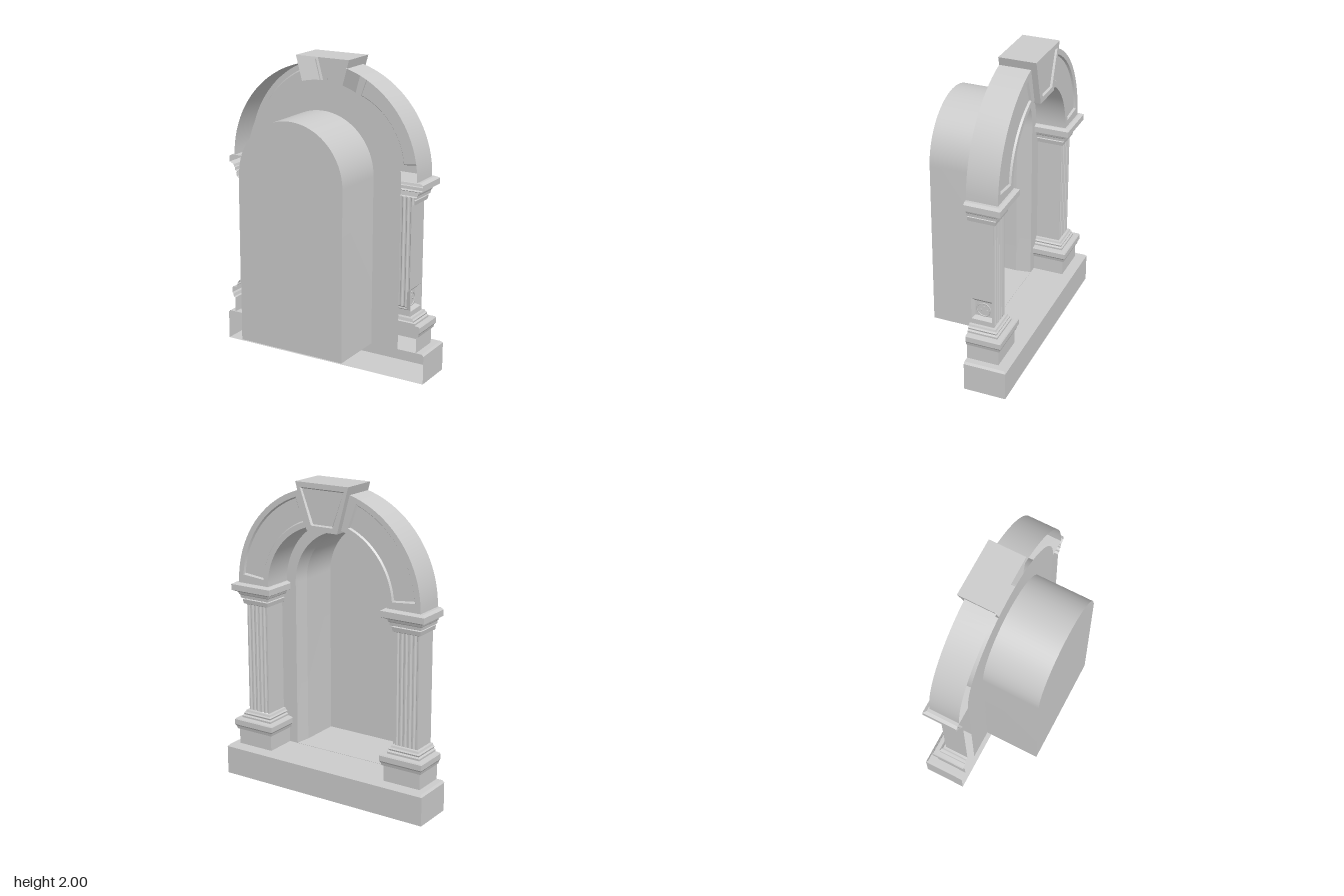
import * as THREE from 'three';
import { toCreasedNormals } from 'three/addons/utils/BufferGeometryUtils.js';

const BACK = -0.05, SPRING = 1.3, FACE = -0.25;
const mat = new THREE.MeshStandardMaterial({ color: 0xcccccc, side: THREE.DoubleSide });
const v = (x, y, z) => new THREE.Vector3(x, y, z);

function add(parent, name, geo) {
  const m = new THREE.Mesh(geo, mat);
  m.name = name;
  parent.add(m);
  return m;
}

// Skin between cross-sections with equal point counts
function loft(sections, closed = false, crease = 0.5) {
  const pos = [];
  for (let i = 0; i + 1 < sections.length; i++) {
    const a = sections[i], b = sections[i + 1], n = a.length;
    for (let j = 0; j < (closed ? n : n - 1); j++) {
      const k = (j + 1) % n;
      for (const p of [a[j], a[k], b[k], a[j], b[k], b[j]]) pos.push(p.x, p.y, p.z);
    }
  }
  const g = new THREE.BufferGeometry();
  g.setAttribute('position', new THREE.Float32BufferAttribute(pos, 3));
  return toCreasedNormals(g, crease);
}

// Three-sided outline, open at the back; flat = pulled onto the back line
const uPath = (h, front, y) => [v(-h, y, BACK), v(-h, y, front), v(h, y, front), v(h, y, BACK)];
const flat = (h, y) => uPath(h, BACK, y);

// Round-headed opening outline
function archPoints(r, bottom = 0.2, n = 48) {
  const p = [new THREE.Vector2(r, bottom)];
  for (let i = 0; i <= n; i++) {
    const a = Math.PI * i / n;
    p.push(new THREE.Vector2(r * Math.cos(a), SPRING + r * Math.sin(a)));
  }
  p.push(new THREE.Vector2(-r, bottom));
  return p;
}
const atZ = (pts, z) => pts.map(p => v(p.x, p.y, z));

function flatShape(pts, z, hole) {
  const s = new THREE.Shape(pts);
  if (hole) s.holes.push(new THREE.Path(hole));
  return new THREE.ShapeGeometry(s).translate(0, 0, z);
}

// Face with a sunken panel: rim, sloping border and floor
function panelledFace(parent, name, outer, rim, floor, z, depth) {
  add(parent, name + 'Frame', flatShape(outer, z, rim));
  add(parent, name + 'PanelEdge', loft([atZ(rim, z), atZ(floor, z + depth)], true));
  add(parent, name + 'Panel', flatShape(floor, z + depth));
}

// Piece of a ring around the spring centre
function sector(r0, r1, a0, a1, side, n = 20) {
  const p = [];
  for (const [r, from, to] of [[r1, a0, a1], [r0, a1, a0]])
    for (let i = 0; i <= n; i++) {
      const a = THREE.MathUtils.degToRad(from + (to - from) * i / n);
      p.push(new THREE.Vector2(side * r * Math.cos(a), SPRING + r * Math.sin(a)));
    }
  return p;
}

function buildOutlet(parent) {
  const rect = (x, z0, z1, y0, y1) => [v(x, y0, z0), v(x, y0, z1), v(x, y1, z1), v(x, y1, z0)];
  const inner = rect(0.045, -0.185, -0.073, 0.475, 0.58);
  const mid = [v(0.045, 0.5275, -0.129)];
  add(parent, 'outletRecess', loft([rect(0.08, -0.197, -0.06, 0.465, 0.612), inner], true, 0.1));
  add(parent, 'outletPlate', loft([inner, inner.map(() => mid[0])], true));
  const ring = add(parent, 'outletRing', new THREE.TorusGeometry(0.044, 0.004, 6, 28));
  ring.rotation.y = Math.PI / 2;
  ring.position.set(0.048, 0.525, -0.129);
  for (const [dy, dz] of [[-0.004, -0.02], [-0.004, 0.02], [0.02, 0]]) {
    const pin = add(parent, 'outletPin', new THREE.CylinderGeometry(0.005, 0.005, 0.006, 10));
    pin.rotation.z = Math.PI / 2;
    pin.position.set(0.048, 0.525 + dy, -0.129 + dz);
  }
}

function buildPilaster(root, side) {
  const g = new THREE.Group();
  g.name = side > 0 ? 'leftPilaster' : 'rightPilaster';
  g.position.x = side * 0.56;
  root.add(g);
  const H = 0.08, F = -0.21;
  const molding = profile => profile.map(([o, y]) => uPath(H + o, F - o, y));

  add(g, 'pilasterBase', loft(molding([
    [0.048, 0.2], [0.048, 0.3], [0.058, 0.305], [0.063, 0.325], [0.07, 0.335], [0.07, 0.37],
    [0.065, 0.377], [0.035, 0.38], [0.035, 0.392], [0.025, 0.4], [0.028, 0.41], [0.02, 0.418],
    [0.015, 0.43], [0, 0.432]]), false, 0.3));
  add(g, 'capital', loft([...molding([
    [0, 1.15], [0.015, 1.157], [0.02, 1.185], [0.012, 1.19], [0.028, 1.196], [0.03, 1.215],
    [0.035, 1.22], [0.04, 1.235], [0.055, 1.243], [0.07, 1.25], [0.07, 1.288], [0.05, 1.3]]),
    flat(H + 0.05, 1.3)], false, 0.3));

  // Fluted front
  const line = [[-H, F]];
  for (let f = 0; f < 5; f++)
    for (let i = 0; i <= 6; i++) {
      const a = Math.PI * i / 6;
      line.push([-0.06 + f * 0.03 - 0.01 * Math.cos(a), F + 0.01 * Math.sin(a)]);
    }
  line.push([H, F]);
  add(g, 'flutedShaft', loft([0.43, 1.155].map(y => line.map(([x, z]) => v(x, y, z))), false, 0.6));

  // Plain sides; one is cut for the outlet
  const box = (a, b, c, d) => [[a, c], [b, c], [b, d], [a, d]].map(p => new THREE.Vector2(...p));
  for (const s of [-1, 1]) {
    const hole = side > 0 && s > 0 ? box(-0.197, -0.06, 0.465, 0.612) : null;
    const geo = flatShape(box(F, BACK, 0.43, 1.155), 0, hole).rotateY(-Math.PI / 2);
    add(g, 'shaftSide', geo).position.x = s * H;
  }
  if (side > 0) buildOutlet(g);
}

function buildArchHalf(root, side) {
  const g = new THREE.Group();
  g.name = side > 0 ? 'leftArch' : 'rightArch';
  root.add(g);
  const end = 75.5, R0 = 0.44, R1 = 0.67;
  panelledFace(g, 'arch', sector(R0, R1, 0, end, side), sector(R0 + 0.035, R1 - 0.035, 5, 70, side),
    sector(R0 + 0.043, R1 - 0.043, 6, 69, side), FACE, 0.012);
  for (const [r, name] of [[R0, 'archSoffit'], [R1, 'archBarrel']]) {
    const arc = sector(r, r, 0, end, side).slice(0, 21);
    add(g, name, loft([atZ(arc, FACE), atZ(arc, BACK)]));
  }
}

export function createModel() {
  const root = new THREE.Group();
  root.name = 'archedNiche';

  // Plinth, hollow at the back, with a small top chamfer
  add(root, 'plinth', loft([flat(0.742, 0), uPath(0.742, -0.325, 0), uPath(0.742, -0.325, 0.187),
    uPath(0.73, -0.313, 0.2), flat(0.73, 0.2)], false, 0.1));

  // Niche: surround, outer shell, splayed lining, rear wall and floor
  add(root, 'nicheSurround', flatShape(archPoints(0.56), BACK, archPoints(0.37)));
  add(root, 'nicheShell', loft([atZ(archPoints(0.37), BACK), atZ(archPoints(0.37), 0.325)]));
  add(root, 'nicheLining', loft([[0.37, BACK], [0.355, 0.05], [0.355, 0.318]]
    .map(([r, z]) => atZ(archPoints(r), z)), false, 0.12));
  add(root, 'nicheRearWall', flatShape(archPoints(0.37), 0.325));
  add(root, 'nicheInnerWall', flatShape(archPoints(0.355), 0.318));
  add(root, 'nicheFloor', new THREE.BoxGeometry(0.74, 0.004, 0.375)).position.set(0, 0.2, 0.1375);

  for (const side of [1, -1]) {
    buildPilaster(root, side);
    buildArchHalf(root, side);
  }

  // Keystone
  const key = new THREE.Group();
  key.name = 'keystone';
  root.add(key);
  const wedge = m => [[0.11, 1.71], [0.19, 2], [-0.19, 2], [-0.11, 1.71]].map(([x, y]) =>
    new THREE.Vector2(x - Math.sign(x) * m, y + (y > 1.9 ? -m : m)));
  add(key, 'keystoneSides', loft([atZ(wedge(0), BACK), atZ(wedge(0), -0.288)], true));
  panelledFace(key, 'keystone', wedge(0), wedge(0.032), wedge(0.04), -0.288, 0.012);

  return root;
}
